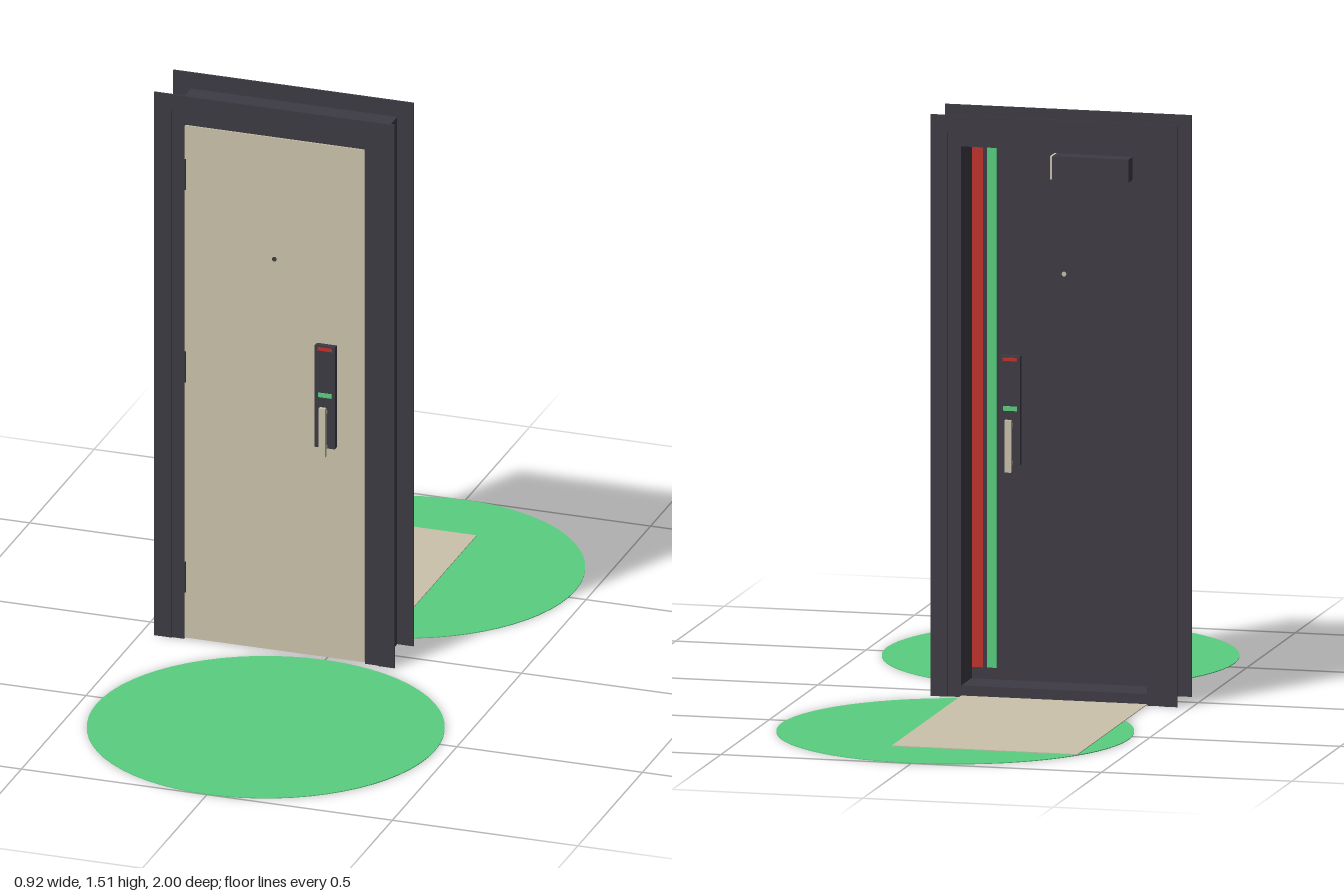
import * as THREE from 'three';

const material = (name, color) => {
  const m = new THREE.MeshStandardMaterial({ color });
  m.name = name;
  return m;
};

export function createModel() {
  const charcoal = material('charcoal metal', 0x3d3b43);
  const beige = material('beige', 0xcbc2ab);
  const green = material('green', 0x59ce80);
  const red = material('red', 0xc0302a);

  const root = new THREE.Group();
  root.name = 'securityDoor';

  const add = (parent, name, geometry, mat, x = 0, y = 0, z = 0) => {
    const mesh = new THREE.Mesh(geometry, mat);
    mesh.name = name;
    mesh.position.set(x, y, z);
    parent.add(mesh);
    return mesh;
  };
  // box given by its extents on each axis
  const block = (parent, name, mat, [x0, x1], [y0, y1], [z0, z1]) =>
    add(parent, name, new THREE.BoxGeometry(x1 - x0, y1 - y0, z1 - z0), mat,
      (x0 + x1) / 2, (y0 + y1) / 2, (z0 + z1) / 2);

  // upside-down U, open at the floor
  const portal = (outer, inner, z0, z1) => {
    const [ol, or, ot] = outer, [il, ir, it] = inner;
    const shape = new THREE.Shape([
      [ol, 0], [il, 0], [il, it], [ir, it], [ir, 0], [or, 0], [or, ot], [ol, ot],
    ].map(([x, y]) => new THREE.Vector2(x, y)));
    const g = new THREE.ExtrudeGeometry(shape, { depth: z1 - z0, bevelEnabled: false });
    return g.translate(0, 0, z0);
  };

  // frame: deep lining with a thin trim on both faces
  const frame = new THREE.Group();
  frame.name = 'frame';
  root.add(frame);
  const opening = [-0.384, 0.104, 1.426];
  const lining = [-0.416, 0.14, 1.462];
  add(frame, 'lining', portal(lining, opening, -0.074, 0.074), charcoal);
  add(frame, 'frontTrim', portal([-0.464, 0.184, 1.506], lining, 0.072, 0.077), charcoal);
  add(frame, 'backTrim', portal([-0.464, 0.184, 1.506], lining, -0.077, -0.072), charcoal);
  block(frame, 'threshold', charcoal, [-0.384, 0.104], [0, 0.03], [-0.074, 0.03]);

  // door leaf: dark core with a beige front skin
  const door = new THREE.Group();
  door.name = 'door';
  root.add(door);
  block(door, 'leaf', charcoal, [-0.383, 0.102], [0.004, 1.424], [0.03, 0.068]);
  block(door, 'frontPanel', beige, [-0.382, 0.102], [0.004, 1.424], [0.068, 0.074]);
  block(door, 'redStripe', red, [0.073, 0.102], [0.06, 1.42], [0.028, 0.0305]);
  block(door, 'greenStripe', green, [0.037, 0.062], [0.06, 1.42], [0.028, 0.0305]);

  // hinges
  for (const y of [0.172, 0.755, 1.288])
    add(door, 'hinge', new THREE.CylinderGeometry(0.005, 0.005, 0.086, 12), charcoal, -0.383, y, 0.071);

  // peephole through the leaf
  const peephole = new THREE.CylinderGeometry(0.006, 0.006, 0.003, 16).rotateX(Math.PI / 2);
  add(door, 'frontPeephole', peephole, charcoal, -0.14, 1.088, 0.075);
  add(door, 'backPeephole', peephole, beige, -0.14, 1.088, 0.029);

  // lock with status lights and a pull handle, facing +z
  const makeLock = (name) => {
    const lock = new THREE.Group();
    lock.name = name;
    block(lock, 'lockPlate', charcoal, [-0.026, 0.028], [0.59, 0.872], [0, 0.016]);
    block(lock, 'redLight', red, [-0.018, 0.021], [0.859, 0.868], [0.016, 0.018]);
    block(lock, 'greenLight', green, [-0.016, 0.02], [0.73, 0.742], [0.016, 0.018]);
    block(lock, 'handle', beige, [-0.006, 0.011], [0.575, 0.71], [0.033, 0.044]);
    for (const y of [0.595, 0.692])
      block(lock, 'handlePost', beige, [-0.003, 0.008], [y - 0.005, y + 0.005], [0.015, 0.034]);
    door.add(lock);
    return lock;
  };
  makeLock('frontLock').position.z = 0.074;
  const backLock = makeLock('backLock');
  backLock.rotation.y = Math.PI;
  backLock.position.z = 0.03;

  // door closer on the back
  block(door, 'closerBody', charcoal, [-0.32, -0.12], [1.34, 1.4], [-0.015, 0.03]);
  block(door, 'closerEndCap', beige, [-0.12, -0.114], [1.34, 1.4], [-0.015, 0.03]);

  // floor markings: a round zone on each side and a mat behind the door
  for (const [name, side] of [['frontZone', 1], ['backZone', -1]])
    add(root, name, new THREE.CylinderGeometry(0.456, 0.456, 0.002, 64), green, 0, 0.001, side * 0.544);
  block(root, 'floorMat', beige, [-0.384, 0.104], [0.002, 0.004], [-0.79, -0.074]);

  return root;
}
